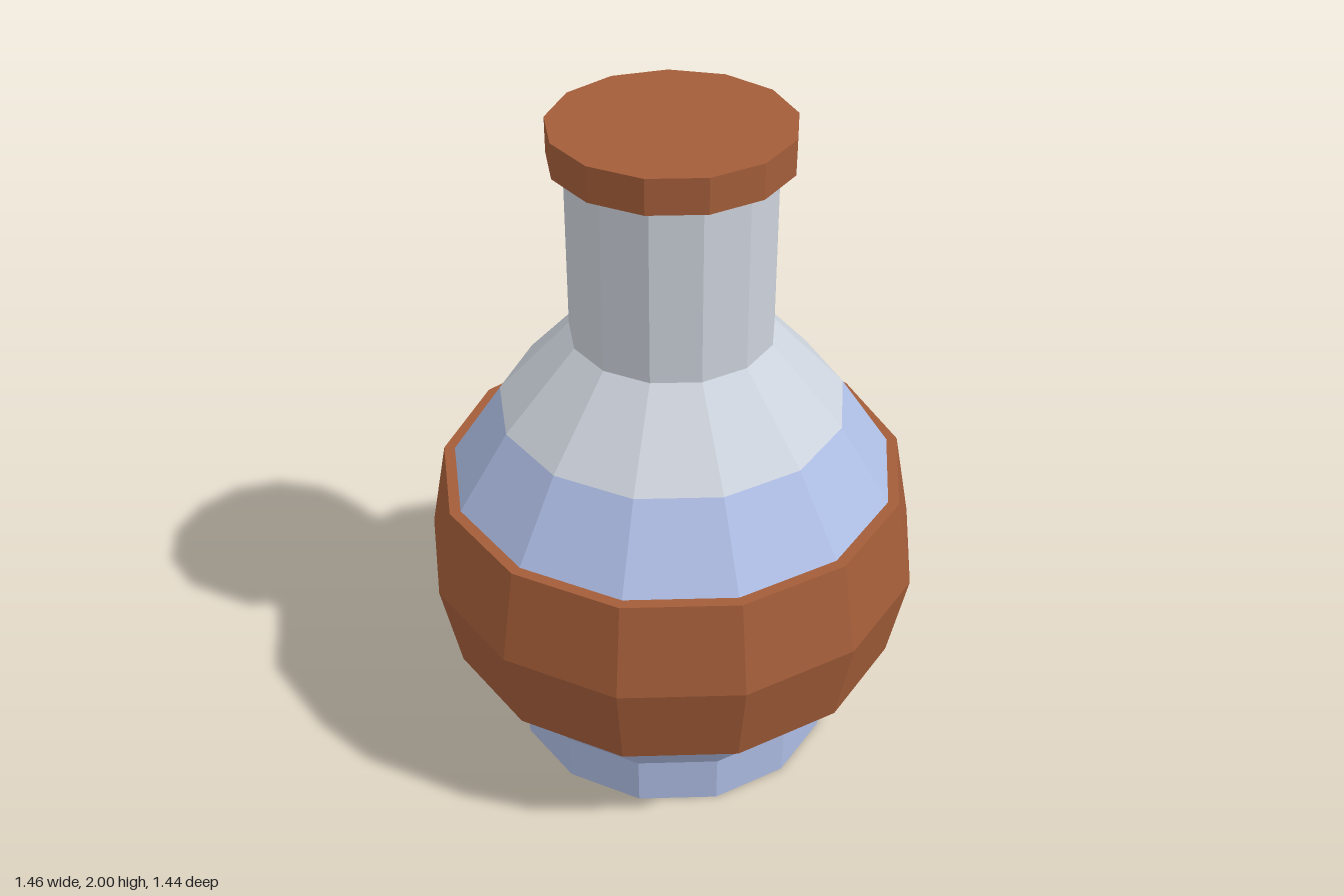
import * as THREE from 'three';

const SIDES = 13;

export function createModel() {
  const group = new THREE.Group();
  const make = (name, color) => {
    const m = new THREE.MeshStandardMaterial({ color, flatShading: true });
    m.name = name;
    return m;
  };
  const blue = make('liquid blue', 0xaebde4);
  const grey = make('glass grey', 0xcdd3dc);
  const brown = make('leather brown', 0xa35d39);

  // Turn a [radius, height] profile, listed upward on the outside, with a corner at the back
  const turn = (name, material, profile) => {
    const points = profile.map(([r, y]) => new THREE.Vector2(r, y));
    const mesh = new THREE.Mesh(new THREE.LatheGeometry(points, SIDES, Math.PI), material);
    mesh.name = name;
    mesh.position.z = 0.011; // centres the odd-sided outline
    group.add(mesh);
  };

  // Foot and filled bulb
  turn('filledBody', blue, [
    [0, 0], [0.487, 0], [0.491, 0.155], [0.648, 0.38], [0.648, 0.925], [0.5, 1.15],
  ]);
  // Clear shoulder and neck
  turn('neck', grey, [[0.5, 1.15], [0.291, 1.38], [0.291, 1.9]]);
  // Broad band around the belly, a closed ring
  turn('band', brown, [
    [0.64, 0.375], [0.68, 0.375], [0.733, 0.65], [0.68, 0.925], [0.64, 0.925], [0.64, 0.375],
  ]);
  // Stopper
  turn('stopper', brown, [[0, 1.9], [0.335, 1.9], [0.335, 2], [0, 2]]);

  return group;
}
